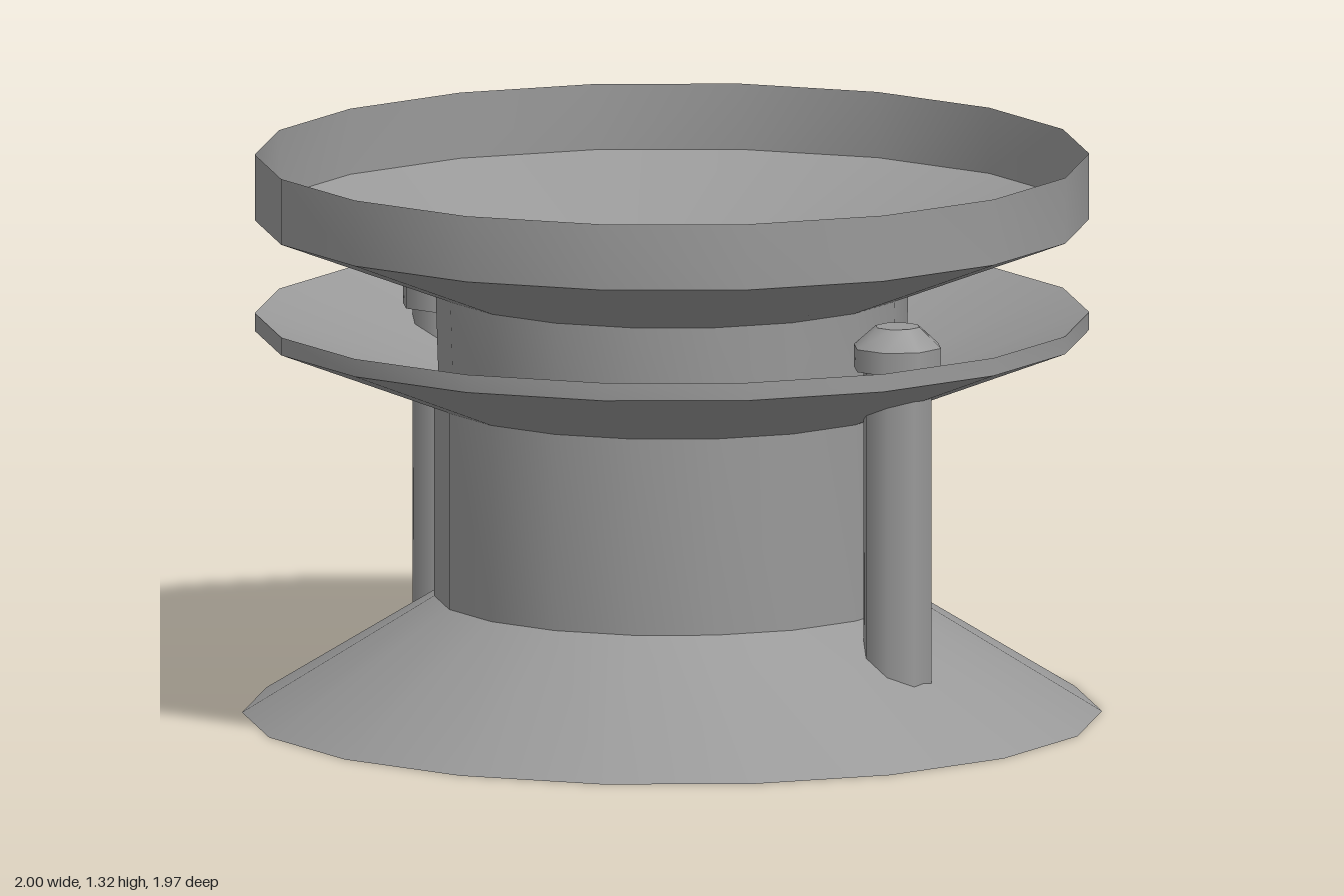
import * as THREE from 'three';
import { toCreasedNormals } from 'three/addons/utils/BufferGeometryUtils.js';

export function createModel() {
  const model = new THREE.Group();
  model.name = 'flangedSpool';

  const material = new THREE.MeshStandardMaterial({ color: 0x999999, side: THREE.DoubleSide });

  // Open 18-sided shell turned from a profile of [radius, height] points
  const addTurned = (name, points) => {
    const profile = points.map(([r, y]) => new THREE.Vector2(r, y));
    const lathe = new THREE.LatheGeometry(profile, 18, Math.PI / 2);
    const mesh = new THREE.Mesh(toCreasedNormals(lathe, 0.42), material);
    mesh.name = name;
    model.add(mesh);
  };

  // Flared foot and barrel, the barrel running up inside the flange
  addTurned('footAndBarrel', [[1.0, 0], [0.553, 0.275], [0.553, 0.776]]);

  // Middle flange, neck and top cup
  addTurned('flangeAndCup', [
    [0.553, 0.738], [0.97, 0.9], [0.97, 0.942], [0.543, 0.776],
    [0.55, 1.0], [0.97, 1.161], [0.97, 1.316],
  ]);

  // Smooth octagonal prism or taper standing between two heights
  const addOctagon = (parent, name, rTop, rBottom, y0, y1, open) => {
    const geometry = new THREE.CylinderGeometry(rTop, rBottom, y1 - y0, 8, 1, open);
    geometry.rotateY(Math.PI / 8).translate(0, (y0 + y1) / 2, 0);
    const mesh = new THREE.Mesh(geometry, material);
    mesh.name = name;
    parent.add(mesh);
  };

  // A bolt on each side, its hollow shaft running from the ground through the flange
  for (const side of [-1, 1]) {
    const bolt = new THREE.Group();
    bolt.name = side > 0 ? 'leftBolt' : 'rightBolt';
    bolt.position.x = side * 0.68;
    addOctagon(bolt, 'boltShaft', 0.083, 0.083, 0, 0.9, true);
    addOctagon(bolt, 'boltHead', 0.106, 0.106, 0.885, 0.938, false);
    addOctagon(bolt, 'boltCap', 0.053, 0.106, 0.938, 0.985, false);
    model.add(bolt);
  }

  return model;
}
